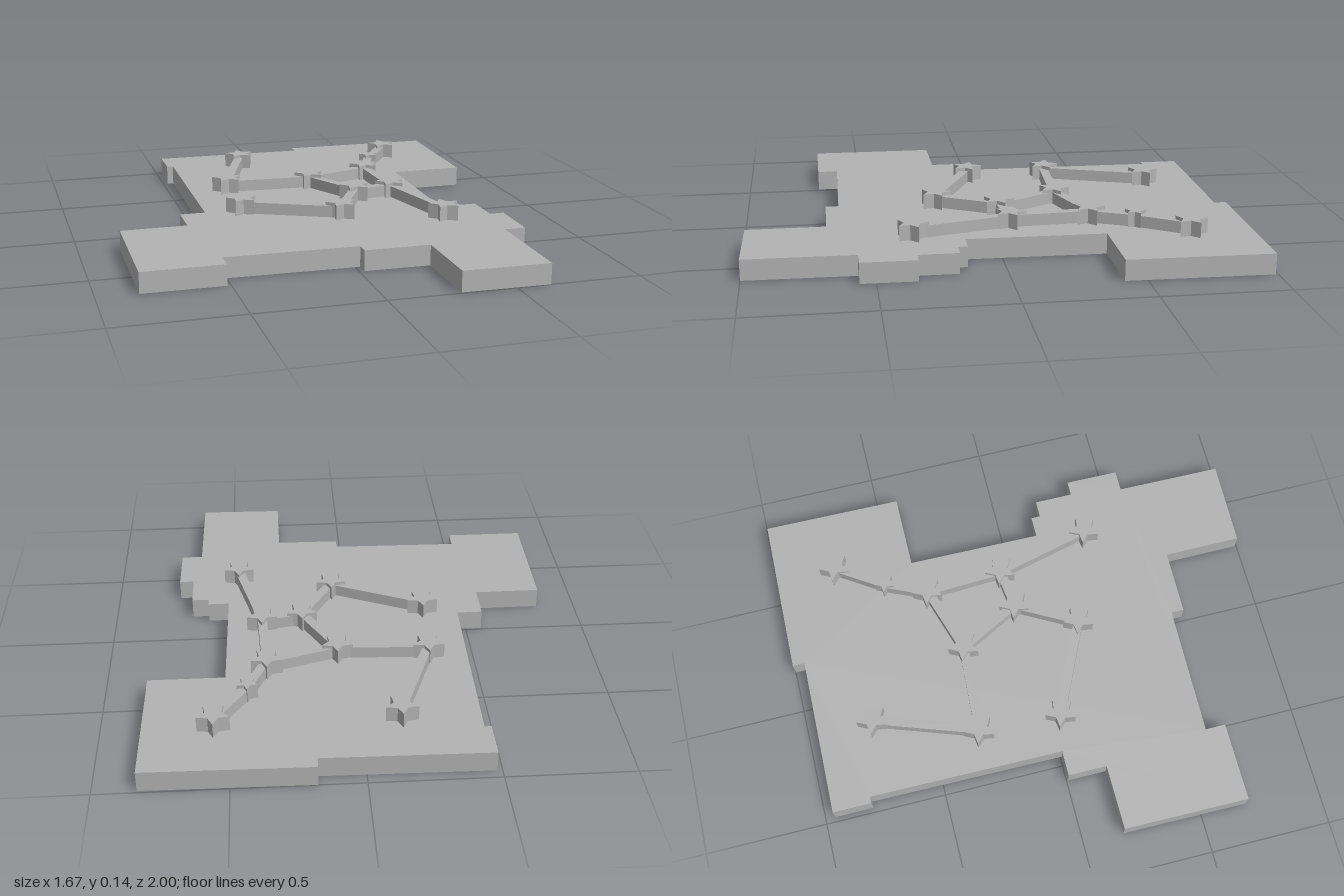
import * as THREE from 'three';

const PLATE_TOP = 0.083, BAR_TOP = 0.131, STAR_TOP = 0.145;

// Plate outline as [x, z], clockwise from the back right corner seen from above
const OUTLINE = [
  [-0.48, -0.96], [0.18, -0.95], [0.18, -1.0], [0.835, -0.99], [0.827, -0.413], [0.52, -0.413],
  [0.513, 0.145], [0.6, 0.145], [0.6, 0.183], [0.67, 0.183], [0.67, 0.343], [0.73, 0.343],
  [0.727, 0.563], [0.64, 0.563], [0.635, 1.0], [0.285, 0.993], [0.285, 0.673], [0.02, 0.67],
  [0.02, 0.617], [-0.515, 0.608], [-0.515, 0.692], [-0.84, 0.692], [-0.836, 0.17], [-0.565, 0.168],
  [-0.565, 0.007], [-0.46, 0.007], [-0.453, -0.8], [-0.48, -0.8],
];

// Star centres [x, z, radius]
const STARS = {
  a: [-0.15, -0.72, 0.066], b: [-0.298, -0.303, 0.066], c: [0.07, -0.283, 0.066],
  d: [0.355, -0.374, 0.066], e: [0.432, -0.545, 0.043], f: [0.56, -0.738, 0.066],
  g: [0.203, -0.03, 0.066], h: [0.37, -0.052, 0.066], i: [0.068, 0.215, 0.066],
  j: [-0.31, 0.04, 0.066], k: [0.467, 0.345, 0.066],
};
const LINKS = ['ab', 'bc', 'cd', 'de', 'ef', 'dh', 'hk', 'hg', 'cg', 'gi', 'ij'];

// Extrudes an [x, z] outline upward between two heights
function slab(points, y0, y1) {
  const shape = new THREE.Shape(points.map(([x, z]) => new THREE.Vector2(x, -z)));
  const geo = new THREE.ExtrudeGeometry(shape, { depth: y1 - y0, bevelEnabled: false });
  return geo.rotateX(-Math.PI / 2).translate(0, y0, 0);
}

// Five-pointed star with one tip toward the back
function starPoints([cx, cz, radius]) {
  return Array.from({ length: 10 }, (_, n) => {
    const r = n % 2 ? radius * 0.5 : radius;
    const t = n * Math.PI / 5;
    return [cx + r * Math.sin(t), cz - r * Math.cos(t)];
  });
}

export function createModel() {
  const group = new THREE.Group();
  const grey = new THREE.MeshStandardMaterial({ color: 0xb2b2b2 });
  grey.name = 'grey';
  const add = (name, geo) => {
    const mesh = new THREE.Mesh(geo, grey);
    mesh.name = name;
    group.add(mesh);
    return mesh;
  };

  // Stepped base plate
  add('basePlate', slab(OUTLINE, 0, PLATE_TOP));

  // Raised stars
  for (const star of Object.values(STARS)) add('star', slab(starPoints(star), PLATE_TOP, STAR_TOP));

  // Bars joining the stars
  for (const [from, to] of LINKS) {
    const [x0, z0] = STARS[from], [x1, z1] = STARS[to];
    const length = Math.hypot(x1 - x0, z1 - z0);
    const bar = add('bar', new THREE.BoxGeometry(length, BAR_TOP - PLATE_TOP, 0.038));
    bar.position.set((x0 + x1) / 2, (PLATE_TOP + BAR_TOP) / 2, (z0 + z1) / 2);
    bar.rotation.y = -Math.atan2(z1 - z0, x1 - x0);
  }
  return group;
}
